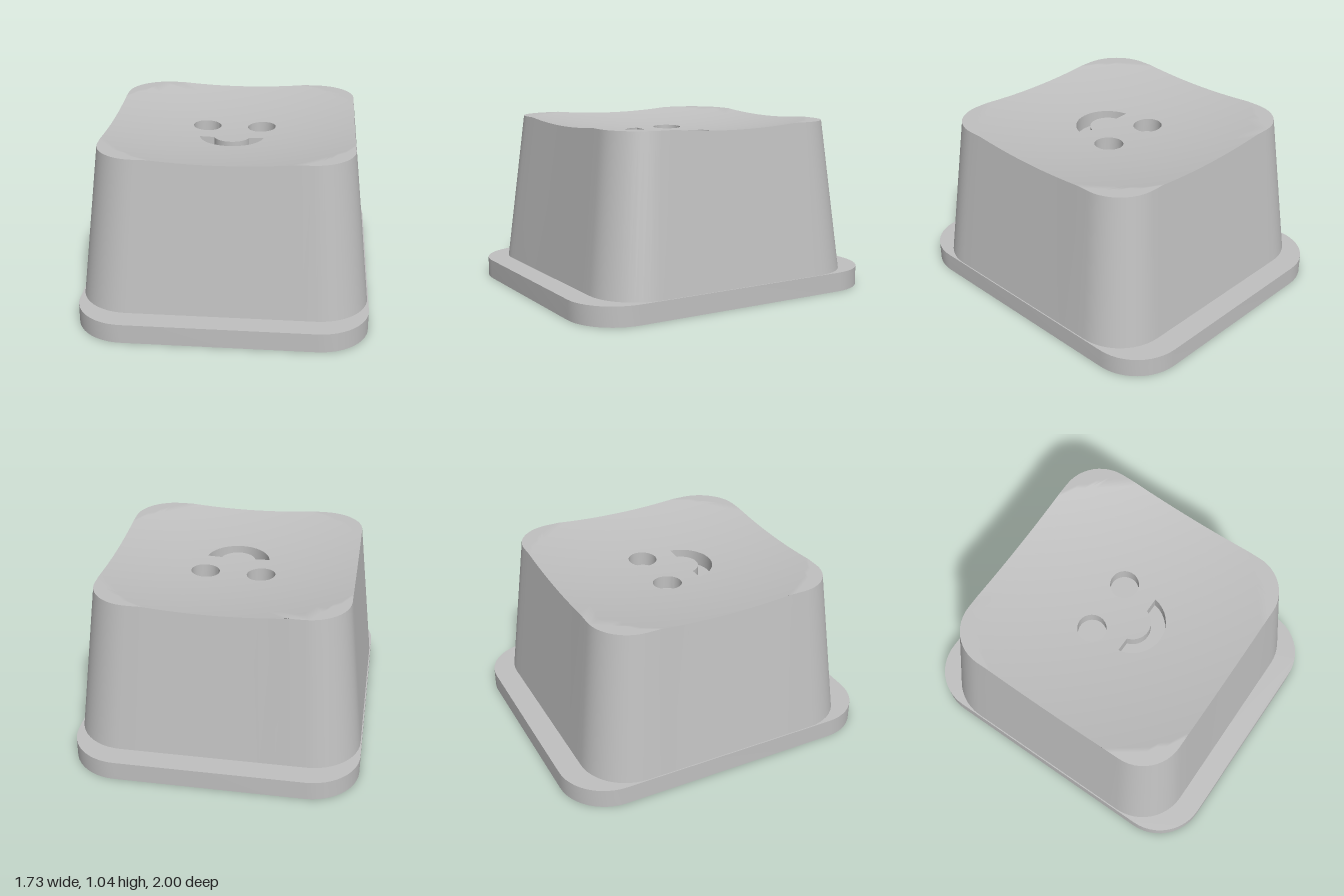
import * as THREE from 'three';
import { toCreasedNormals } from 'three/addons/utils/BufferGeometryUtils.js';

const PLATE_TOP = 0.118;
const RIM_Y = 1.045, RIM_R = 0.864, DISH = 0.113;

// Height of the dished top: a shallow bowl that runs out into flat corners
const dishY = (x, z) => RIM_Y - DISH * Math.max(0, RIM_R * RIM_R - x * x - z * z);

// Outlines are counter-clockwise points in plan, with plan y = -z
function arc(cx, cy, r, from, to, steps) {
  return Array.from({ length: steps + 1 }, (_, i) => {
    const a = from + (to - from) * i / steps;
    return new THREE.Vector2(cx + r * Math.cos(a), cy + r * Math.sin(a));
  });
}

function circle(cx, cy, r, steps = 48) {
  return arc(cx, cy, r, 0, Math.PI * 2, steps).slice(0, -1);
}

// Rounded rectangle with extra points along its straight edges
function roundedRect(hx, hy, r, cornerSteps = 12, edgeSteps = 12) {
  const corners = [[1, 1], [-1, 1], [-1, -1], [1, -1]].map(([sx, sy], i) =>
    arc(sx * (hx - r), sy * (hy - r), r, i * Math.PI / 2, (i + 1) * Math.PI / 2, cornerSteps));
  const points = [];
  corners.forEach((corner, i) => {
    points.push(...corner);
    const end = corner[cornerSteps], next = corners[(i + 1) % 4][0];
    for (let k = 1; k < edgeSteps; k++) points.push(end.clone().lerp(next, k / edgeSteps));
  });
  return points;
}

const lift = (outline, y) => outline.map(p =>
  new THREE.Vector3(p.x, y === undefined ? dishY(p.x, p.y) : y, -p.y));

// Wall between two rings; faces outward when ring a is the lower one
function loft(a, b) {
  const pos = [];
  for (let i = 0; i < a.length; i++) {
    const j = (i + 1) % a.length;
    for (const p of [a[i], a[j], b[j], a[i], b[j], b[i]]) pos.push(p.x, p.y, p.z);
  }
  const g = new THREE.BufferGeometry();
  g.setAttribute('position', new THREE.Float32BufferAttribute(pos, 3));
  return toCreasedNormals(g, 0.6);
}

function shapeOf(outline, holes = []) {
  const s = new THREE.Shape(outline);
  s.holes = holes.map(h => new THREE.Path(h));
  return s;
}

// Flat horizontal face, looking up or down
function flat(outline, holes, y, up) {
  return new THREE.ShapeGeometry(shapeOf(outline, holes))
    .rotateX(up ? -Math.PI / 2 : Math.PI / 2).translate(0, y, 0);
}

// Dished face: triangulate with holes, subdivide evenly, then bend
function dishedTop(outline, holes) {
  const src = flat(outline, holes, 0, true).toNonIndexed().attributes.position;
  let tris = [];
  for (let i = 0; i < src.count; i += 3) {
    tris.push([0, 1, 2].map(k => new THREE.Vector3().fromBufferAttribute(src, i + k)));
  }
  const mid = (p, q) => p.clone().add(q).multiplyScalar(0.5);
  for (let n = 0; n < 3; n++) {
    tris = tris.flatMap(([a, b, c]) => {
      const ab = mid(a, b), bc = mid(b, c), ca = mid(c, a);
      return [[a, ab, ca], [ab, b, bc], [ca, bc, c], [ab, bc, ca]];
    });
  }
  const pos = [], nor = [];
  for (const p of tris.flat()) {
    pos.push(p.x, dishY(p.x, p.z), p.z);
    const k = Math.hypot(p.x, p.z) < RIM_R ? 2 * DISH : 0;
    nor.push(...new THREE.Vector3(-k * p.x, 1, -k * p.z).normalize().toArray());
  }
  const g = new THREE.BufferGeometry();
  g.setAttribute('position', new THREE.Float32BufferAttribute(pos, 3));
  g.setAttribute('normal', new THREE.Float32BufferAttribute(nor, 3));
  return g;
}

export function createModel() {
  const model = new THREE.Group();
  model.name = 'dishedButton';
  const grey = new THREE.MeshStandardMaterial({ color: 0xc0c0c0 });
  grey.name = 'grey';
  const add = (name, geometry, parent = model) => {
    const mesh = new THREE.Mesh(geometry, grey);
    mesh.name = name;
    parent.add(mesh);
  };

  // Base plate with a square opening underneath
  const opening = roundedRect(0.475, 0.475, 0.04, 6, 1);
  const plate = new THREE.ExtrudeGeometry(
    shapeOf(roundedRect(0.867, 1, 0.3, 12, 1), [opening]),
    { depth: PLATE_TOP, bevelEnabled: false });
  add('basePlate', toCreasedNormals(plate.rotateX(-Math.PI / 2), 0.6));

  // Tapered body
  const foot = roundedRect(0.86, 0.86, 0.3);
  const rim = roundedRect(0.755, 0.755, 0.25);
  add('bodySide', loft(lift(foot, PLATE_TOP), lift(rim)));

  // Underside of the body with a blind round socket
  const socket = circle(0, 0, 0.305, 64);
  const socketTop = PLATE_TOP + 0.2;
  add('bodyUnderside', flat(opening, [socket], PLATE_TOP, false));
  add('socketWall', loft(lift(socket, socketTop), lift(socket, PLATE_TOP)));
  add('socketCeiling', flat(socket, [], socketTop, false));

  // Smiling face sunk into the top
  const cutAngle = r => Math.asin(0.032 / r);
  const mouth = [
    ...arc(0, -0.088, 0.2, Math.PI + cutAngle(0.2), 2 * Math.PI - cutAngle(0.2), 28),
    ...arc(0, -0.088, 0.112, 2 * Math.PI - cutAngle(0.112), Math.PI + cutAngle(0.112), 20),
  ];
  const recesses = {
    leftEye: circle(0.173, 0.09, 0.088),
    rightEye: circle(-0.173, 0.09, 0.088),
    mouth,
  };
  add('dishedTop', dishedTop(rim, Object.values(recesses)));
  const floorY = 0.88;
  for (const [name, outline] of Object.entries(recesses)) {
    const part = new THREE.Group();
    part.name = name;
    model.add(part);
    add(name + 'Wall', loft(lift(outline), lift(outline, floorY)), part);
    add(name + 'Floor', flat(outline, [], floorY, true), part);
  }
  return model;
}
